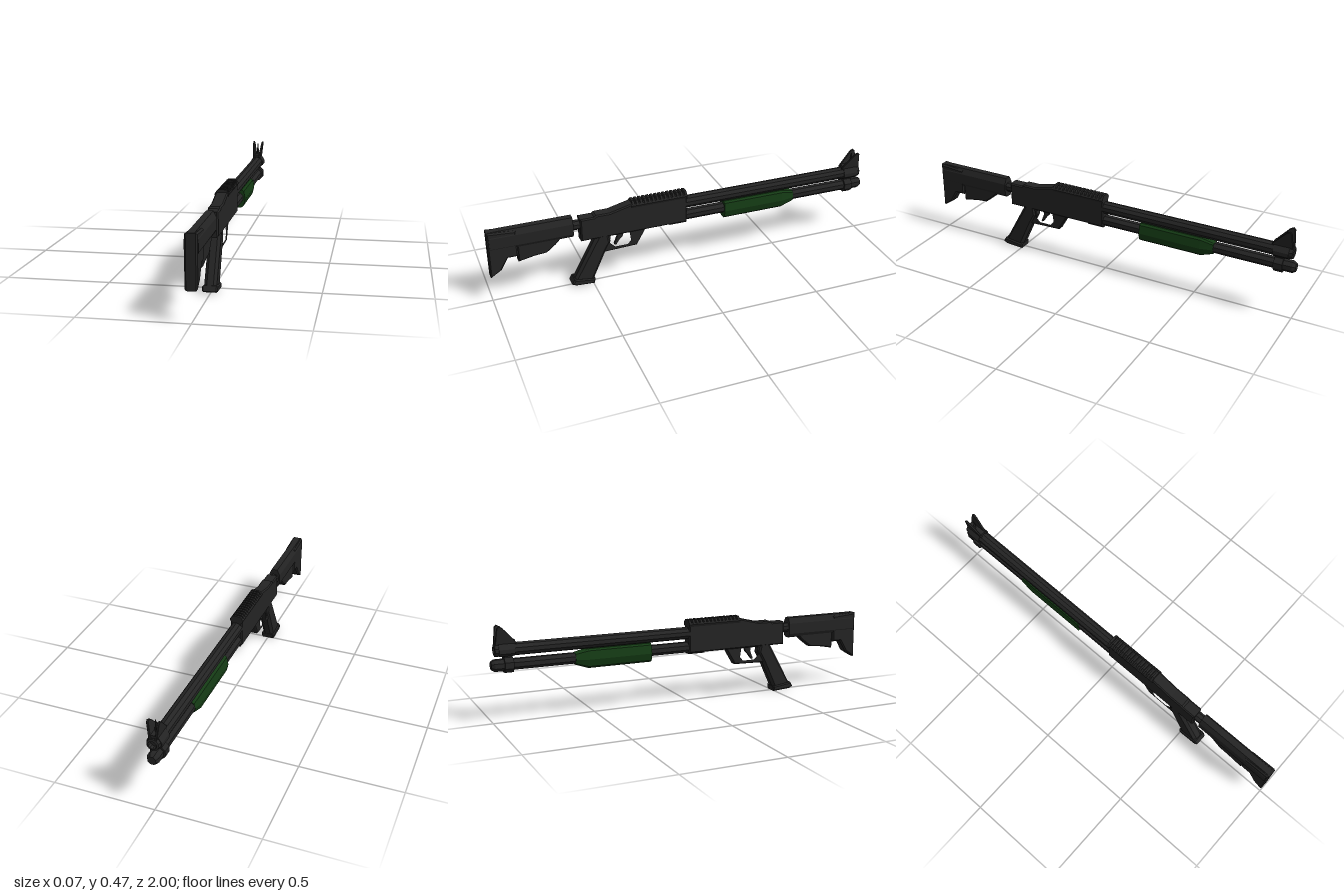
import * as THREE from 'three';

const black = new THREE.MeshStandardMaterial({ color: 0x242424, flatShading: true });
const green = new THREE.MeshStandardMaterial({ color: 0x143a14, flatShading: true });

const toShape = (pts) => new THREE.Shape(pts.map(([a, b]) => new THREE.Vector2(a, b)));

// Side profile given as [z, y], centred on x with chamfered edges
function plate(pts, width, bevel = 0, hole = null) {
  const shape = toShape(pts);
  if (hole) shape.holes.push(new THREE.Path(hole.map(([a, b]) => new THREE.Vector2(a, b))));
  const depth = width - 2 * bevel;
  const geo = new THREE.ExtrudeGeometry(shape, {
    depth, bevelEnabled: bevel > 0, bevelThickness: bevel,
    bevelSize: bevel, bevelOffset: -bevel, bevelSegments: 1,
  });
  geo.translate(0, 0, -depth / 2);
  geo.rotateY(-Math.PI / 2);
  return geo;
}

// Cross-section given as [x, y], running from z0 to z1
function bar(pts, z0, z1, steps = 1) {
  const geo = new THREE.ExtrudeGeometry(toShape(pts), { depth: z1 - z0, steps, bevelEnabled: false });
  return geo.translate(0, 0, z0);
}

// Tube along z; rBack is the radius at the +z end
function rod(y, z0, z1, rFront, rBack = rFront, sides = 8) {
  const geo = new THREE.CylinderGeometry(rBack, rFront, z1 - z0, sides);
  geo.rotateY(Math.PI / sides);
  geo.rotateX(Math.PI / 2);
  return geo.translate(0, y, (z0 + z1) / 2);
}

const mirror = (half) => [...half, ...half.slice().reverse().map(([x, y]) => [-x, y])];

export function createModel() {
  const model = new THREE.Group();
  const add = (name, geo, mat = black) => {
    const mesh = new THREE.Mesh(geo, mat);
    mesh.name = name;
    model.add(mesh);
    return mesh;
  };

  // Shoulder stock: upper body, rear web with butt, front web, neck
  add('stockBody', bar(mirror([[0.022, 0.285], [0.03, 0.3], [0.03, 0.355], [0.016, 0.385]]), 0.585, 0.99));
  add('stockButt', plate([[1, 0.14], [1, 0.385], [0.86, 0.375], [0.86, 0.235], [0.91, 0.235], [0.945, 0.175]], 0.056, 0.007));
  add('stockWeb', plate([[0.86, 0.2], [0.86, 0.35], [0.585, 0.35], [0.585, 0.28], [0.65, 0.28],
    [0.675, 0.255], [0.72, 0.22], [0.78, 0.215]], 0.044, 0.006));
  add('stockNeck', rod(0.333, 0.53, 0.6, 0.025));

  // Receiver
  add('receiver', plate([[0.55, 0.25], [0.55, 0.37], [0.48, 0.37], [0.47, 0.378], [0.4, 0.378],
    [0.29, 0.405], [0, 0.4], [0, 0.25]], 0.06, 0.006));
  add('loadingGate', new THREE.BoxGeometry(0.044, 0.03, 0.09).translate(0, 0.26, 0.045));

  // Toothed top rail
  add('railBase', bar(mirror([[0.03, 0.385], [0.035, 0.397], [0.03, 0.404]]), 0, 0.29));
  const teeth = 14;
  for (let i = 0; i < teeth; i++) {
    const z = 0.004 + (i * 0.274) / (teeth - 1);
    add('railTooth', bar(mirror([[0.035, 0.398], [0.026, 0.412], [0.018, 0.419]]), z - 0.004, z + 0.008));
  }

  // Pistol grip with flared foot
  add('grip', plate([[0.41, 0.27], [0.465, 0.27], [0.605, 0.015], [0.5, 0.008], [0.43, 0.16], [0.4, 0.215]], 0.058, 0.014));
  add('gripFoot', plate([[0.61, 0.016], [0.596, 0.04], [0.49, 0.026], [0.495, 0], [0.59, 0.006]], 0.072, 0.006));

  // Trigger guard loop and trigger
  add('triggerGuard', plate(
    [[0.43, 0.26], [0.445, 0.16], [0.265, 0.166], [0.21, 0.26]], 0.042, 0.005,
    [[0.405, 0.252], [0.41, 0.205], [0.38, 0.176], [0.31, 0.176], [0.29, 0.2], [0.297, 0.252]]));
  add('trigger', plate([[0.325, 0.255], [0.365, 0.255], [0.362, 0.225], [0.378, 0.185],
    [0.37, 0.182], [0.35, 0.21], [0.335, 0.225]], 0.016));

  // Barrel with a recessed bore
  const barrel = [[0, -0.96], [0.017, -0.96], [0.02, -0.985], [0.03, -0.982], [0.0315, -0.97], [0.0315, 0.02], [0, 0.02]];
  const barrelGeo = new THREE.LatheGeometry(barrel.map(([r, z]) => new THREE.Vector2(r, z)), 10);
  barrelGeo.rotateX(Math.PI / 2).translate(0, 0.35, 0);
  const barrelMat = black.clone();
  barrelMat.side = THREE.DoubleSide;
  add('barrel', barrelGeo, barrelMat);
  add('barrelBand', bar(mirror([[0.02, 0.321], [0.036, 0.335], [0.036, 0.355], [0.02, 0.38]]), -0.965, -0.89));

  // Magazine tube, clamp and end cap
  add('magazineTube', rod(0.278, -0.95, 0.02, 0.028));
  add('clampRing', rod(0.278, -0.94, -0.897, 0.039));
  add('clampBridge', new THREE.BoxGeometry(0.03, 0.07, 0.036).translate(0, 0.31, -0.918));
  add('endCap', rod(0.278, -0.985, -0.94, 0.03));
  add('endCapTip', rod(0.278, -1, -0.985, 0.021, 0.03));

  // Sliding fore-end, narrowed at its front
  const foreEnd = bar(mirror([[0.016, 0.225], [0.028, 0.235], [0.037, 0.27], [0.029, 0.312], [0.018, 0.32]]), -0.595, -0.205, 6);
  const p = foreEnd.attributes.position;
  for (let i = 0; i < p.count; i++) {
    if (p.getZ(i) < -0.59) p.setXY(i, p.getX(i) * 0.78, 0.28 + (p.getY(i) - 0.28) * 0.6);
  }
  foreEnd.computeVertexNormals();
  add('foreEnd', foreEnd, green);

  // Front sight: base, centre post and two outward-leaning wings
  add('sightBase', new THREE.BoxGeometry(0.036, 0.022, 0.09).translate(0, 0.384, -0.93));
  add('sightPost', new THREE.CylinderGeometry(0.0015, 0.009, 0.068, 4).translate(0, 0.421, -0.94));
  for (const side of [-1, 1]) {
    const wing = plate([[-0.88, 0.375], [-0.88, 0.385], [-0.945, 0.456], [-0.962, 0.465], [-0.972, 0.455], [-0.98, 0.375]], 0.011, 0.002);
    const q = wing.attributes.position;
    for (let i = 0; i < q.count; i++) q.setX(i, q.getX(i) + side * (0.014 + (q.getY(i) - 0.375) * 0.13));
    wing.computeVertexNormals();
    add(side > 0 ? 'leftSightWing' : 'rightSightWing', wing);
  }

  return model;
}
